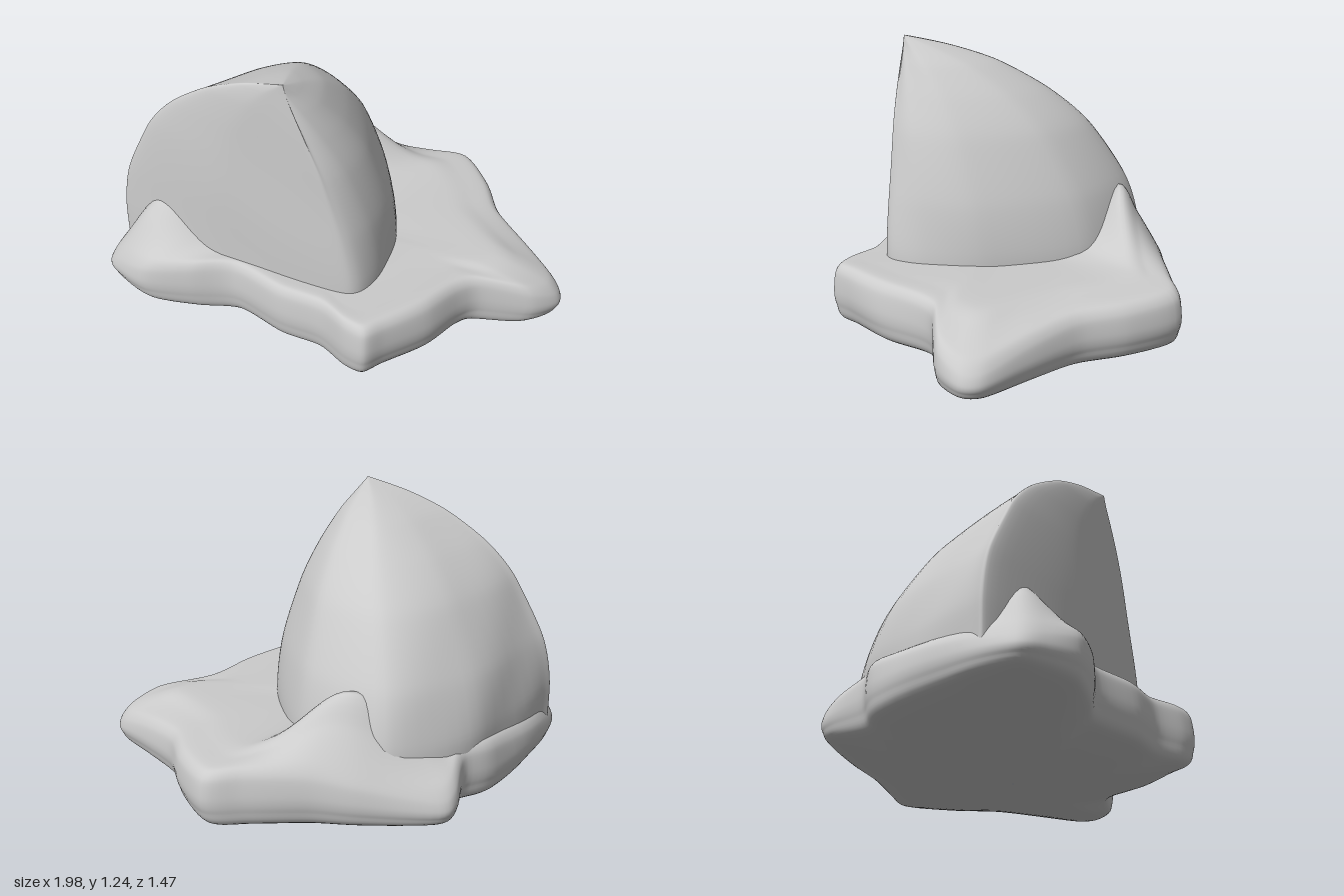
import * as THREE from 'three';

const V = (x, y, z) => new THREE.Vector3(x, y, z);

// Closed outline through a few points, sampled evenly between them
function loop(points, perSpan) {
  const curve = new THREE.CatmullRomCurve3(points, true, 'catmullrom', 0.4);
  return curve.getPoints(points.length * perSpan).slice(0, -1);
}

// Smooth skin over a stack of closed rings, listed from bottom to top
function loft(rings, steps) {
  const n = rings[0].length;
  const columns = rings[0].map((_, j) =>
    new THREE.CatmullRomCurve3(rings.map(r => r[j]), false, 'catmullrom', 0.4).getPoints(steps));
  const positions = [], index = [];
  for (let i = 0; i <= steps; i++) {
    for (let j = 0; j < n; j++) {
      const p = columns[j][i];
      // Slight weathering of the stone
      const w = 0.006 * Math.sin(9 * p.x + 5 * p.y) * Math.sin(8 * p.z - 6 * p.y + 1);
      positions.push(p.x + w, p.y, p.z + w);
      if (i < steps) {
        const k = (j + 1) % n, a = i * n + j, b = i * n + k, c = a + n, d = b + n;
        index.push(a, b, c, b, d, c);
      }
    }
  }
  const geometry = new THREE.BufferGeometry();
  geometry.setAttribute('position', new THREE.Float32BufferAttribute(positions, 3));
  geometry.setIndex(index);
  geometry.computeVertexNormals();
  return geometry;
}

const bump = (x, z, cx, cz, rx, rz) => Math.exp(-(((x - cx) / rx) ** 2) - ((z - cz) / rz) ** 2);

// The rim of the ledge drops toward its side tips and its back corner
const rimHeight = (x, z) => 0.35 - 0.13 * x ** 4 - 0.12 * bump(x, z, -0.3, -0.75, 0.35, 0.12);

// The top of the ledge rises to a shoulder at the back and a foot at the left
const topHeight = (x, z) => 0.35
  + 0.25 * bump(x, z, 0.02, -0.52, 0.25, 0.15)
  + 0.2 * bump(x, z, -0.76, 0.12, 0.2, 0.14);

// Flat ledge with pointed corners, outlined in x and z
function ledgeGeometry() {
  const outline = loop([
    [-0.99, 0.12], [-0.92, 0.23], [-0.8, 0.32], [-0.6, 0.35], [-0.4, 0.36], [-0.2, 0.5], [-0.02, 0.58],
    [0.09, 0.69], [0.17, 0.73], [0.25, 0.67], [0.42, 0.54], [0.55, 0.4], [0.64, 0.35], [0.85, 0.35],
    [0.97, 0.28], [0.98, 0.19], [0.87, 0.01], [0.75, -0.2], [0.7, -0.42], [0.61, -0.63], [0.45, -0.65],
    [0.2, -0.68], [0, -0.72], [-0.3, -0.74], [-0.38, -0.69], [-0.44, -0.55], [-0.6, -0.47], [-0.9, -0.1],
  ].map(([x, z]) => V(x, rimHeight(x, z), z)), 6);
  const ring = (scale, height) => outline.map(p => {
    const x = p.x * scale, z = p.z * scale - 0.02 * (1 - scale);
    return V(x, height(p.y, topHeight(x, z)), z);
  });
  const flat = (scale, y) => ring(scale, () => y);
  const side = (scale, t) => ring(scale, rimY => THREE.MathUtils.lerp(0.11, rimY, t));
  const top = (scale, t) => ring(scale, (rimY, topY) => THREE.MathUtils.lerp(rimY, topY, t));
  return loft([
    flat(0.005, 0.002), flat(0.3, 0.008), flat(0.65, 0.04), flat(0.94, 0.1),
    side(0.99, 0.25), side(1, 0.5), side(0.985, 0.85),
    top(0.94, 0.25), top(0.82, 0.7), top(0.7, 1), top(0.45, 1), flat(0.005, 0.34),
  ], 66);
}

// Upright boulder: its foot outline shrinks toward the peak along a dome profile.
// Each corner has x, z and a power; higher powers pull in sooner, as a straight slope.
function boulderGeometry() {
  const peak = { x: -0.163, z: 0.4 };
  const corners = [
    [0.13, 0.49, 2.5], [0.22, 0.36, 2], [0.27, 0.1, 1.4], [0.2, -0.34, 1.2], [-0.1, -0.63, 1.1],
    [-0.5, -0.49, 1.1], [-0.88, -0.07, 1], [-0.91, 0.02, 1], [-0.5, 0.27, 1], [0, 0.48, 2.2],
  ];
  const profile = [
    [0.15, 1], [0.38, 1], [0.6, 0.94], [0.85, 0.79], [1, 0.63], [1.12, 0.43], [1.19, 0.23], [1.235, 0.03], [1.24, 0.002],
  ];
  return loft(profile.map(([y, size]) => loop(corners.map(([x, z, power]) => {
    const s = size ** power;
    return V(peak.x + (x - peak.x) * s, y, peak.z + (z - peak.z) * s);
  }), 8)), 64);
}

export function createModel() {
  const group = new THREE.Group();
  group.name = 'rock';
  const stone = new THREE.MeshStandardMaterial({ color: 0xcccccc });
  const add = (name, geometry) => {
    const mesh = new THREE.Mesh(geometry, stone);
    mesh.name = name;
    group.add(mesh);
  };
  add('ledge', ledgeGeometry());
  add('boulder', boulderGeometry());
  return group;
}
